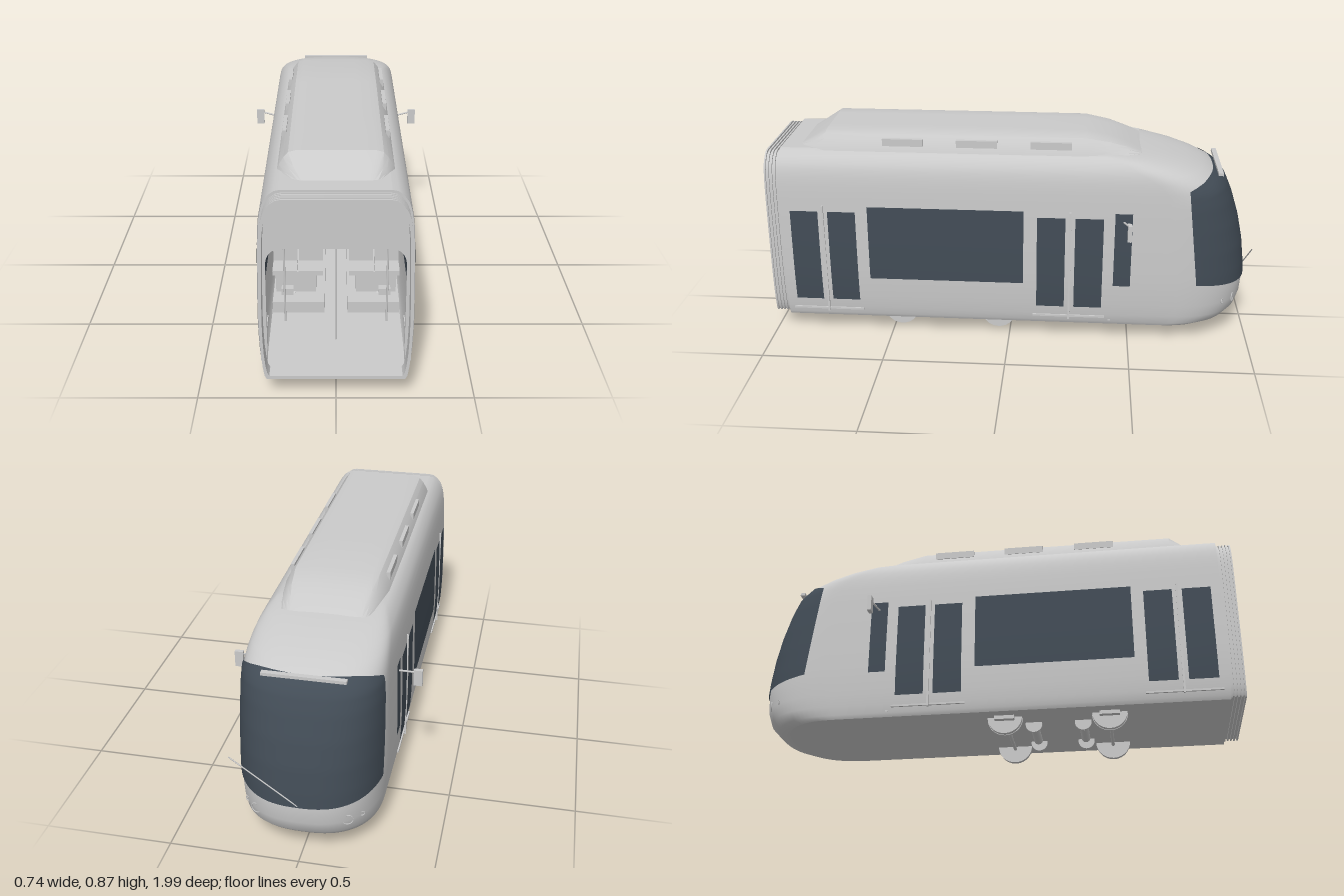
import * as THREE from 'three';
import { toCreasedNormals } from 'three/addons/utils/BufferGeometryUtils.js';

const paint = new THREE.MeshStandardMaterial({ color: 0xcacaca, side: THREE.DoubleSide });
paint.name = 'lightGrey';
const glass = new THREE.MeshStandardMaterial({ color: 0x424c56, side: THREE.DoubleSide });
glass.name = 'darkGlass';

// Horizontal slices of the shell: height, half width, nose tip z, z where the nose starts
const SLICES = [
  [0.07, 0.255, -0.88, -0.62], [0.085, 0.263, -0.93, -0.64], [0.12, 0.269, -0.965, -0.65],
  [0.17, 0.274, -0.982, -0.65], [0.24, 0.277, -0.987, -0.65], [0.3, 0.278, -0.982, -0.65],
  [0.4, 0.277, -0.968, -0.65], [0.5, 0.275, -0.945, -0.65], [0.6, 0.272, -0.912, -0.65],
  [0.66, 0.269, -0.885, -0.64], [0.7, 0.265, -0.85, -0.6], [0.73, 0.259, -0.79, -0.55],
  [0.755, 0.25, -0.72, -0.5], [0.78, 0.232, -0.62, -0.45], [0.795, 0.212, -0.53, -0.4],
  [0.8, 0.19, -0.48, -0.35],
];
const REAR = 0.94;

function sliceAt(y) {
  let i = 0;
  while (i < SLICES.length - 2 && y > SLICES[i + 1][0]) i++;
  const a = SLICES[i], b = SLICES[i + 1];
  const k = THREE.MathUtils.clamp((y - a[0]) / (b[0] - a[0]), 0, 1);
  return a.map((v, j) => v + (b[j] - v) * k);
}

// Point on the rounded nose; t runs from -1 (right side) to 1 (left side)
function nosePoint(y, t, off = 0) {
  const [, w, tip, start] = sliceAt(y);
  const s = Math.sin(t * Math.PI / 2), c = Math.max(0, Math.cos(t * Math.PI / 2));
  return [Math.sign(s) * w * Math.abs(s) ** 0.8 + s * off, y,
    start - (start - tip) * c ** 0.8 - c * off];
}

// Surface made from a rule over a grid of nu by nv cells
function grid(nu, nv, rule) {
  const pos = [], idx = [];
  for (let j = 0; j <= nv; j++) for (let i = 0; i <= nu; i++) pos.push(...rule(i, j));
  for (let j = 0; j < nv; j++) for (let i = 0; i < nu; i++) {
    const a = j * (nu + 1) + i, b = a + nu + 1;
    idx.push(a, b, a + 1, a + 1, b, b + 1);
  }
  const g = new THREE.BufferGeometry();
  g.setAttribute('position', new THREE.Float32BufferAttribute(pos, 3));
  g.setIndex(idx);
  g.computeVertexNormals();
  return g;
}

export function createModel() {
  const model = new THREE.Group();
  model.name = 'tram';

  const add = (name, geo, mat = paint) => {
    const m = new THREE.Mesh(geo, mat);
    m.name = name;
    model.add(m);
    return m;
  };
  const box = (name, x0, x1, y0, y1, z0, z1, mat) => {
    const m = add(name, new THREE.BoxGeometry(Math.abs(x1 - x0), y1 - y0, Math.abs(z1 - z0)), mat);
    m.position.set((x0 + x1) / 2, (y0 + y1) / 2, (z0 + z1) / 2);
    return m;
  };
  const rod = (name, a, b, r) => add(name, new THREE.TubeGeometry(
    new THREE.LineCurve3(new THREE.Vector3(...a), new THREE.Vector3(...b)), 1, r, 8));
  const roller = (name, x, y, z, r, len) => {
    const m = add(name, new THREE.CylinderGeometry(r, r, len, 28).rotateZ(Math.PI / 2));
    m.position.set(x, y, z);
    return m;
  };

  // Shell with nose, floor and roof skin
  const COLS = 42;
  const around = (i, y) => {
    if (i === 0 || i === COLS) return [(i ? 1 : -1) * sliceAt(y)[1], y, REAR];
    return nosePoint(y, -1 + 2 * (i - 1) / (COLS - 2));
  };
  add('bodyShell', grid(COLS, SLICES.length - 1, (i, j) => around(i, SLICES[j][0])));
  for (const [name, y] of [['underside', 0.07], ['roofSkin', 0.8]]) {
    add(name, grid(COLS, 1, (i, j) => {
      const p = around(i, y);
      return j ? [0, y, p[2]] : p;
    }));
  }

  // Windscreen wrapped around the nose
  add('windscreen', grid(40, 28, (i, j) => {
    const u = i / 20 - 1, v = j / 28;
    const y = THREE.MathUtils.lerp(0.245 + 0.025 * u * u, 0.712 - 0.035 * u ** 4, v);
    const [, , tip, start] = sliceAt(y);
    const edge = THREE.MathUtils.lerp(-0.77, -0.72, v);
    const k = Math.acos(((start - edge) / (start - tip)) ** 1.25) / (Math.PI / 2);
    return nosePoint(y, u * k, 0.005);
  }), glass);
  box('windscreenTopBar', -0.155, 0.155, 0.708, 0.72, -0.862, -0.842);
  rod('wiper', [0, 0.25, -0.99], [0.25, 0.43, -0.985], 0.0025);

  // Open end: bulkhead with doorway, then folded bellows
  const outline = (k) => {
    const side = SLICES.map(([y, w]) => new THREE.Vector2(w * k, 0.438 + (y - 0.438) * k));
    return [...side, ...side.map((p) => new THREE.Vector2(-p.x, p.y)).reverse()];
  };
  const frame = (name, k, hole, z, depth) => {
    const s = new THREE.Shape(outline(k));
    s.holes.push(hole);
    const g = new THREE.ExtrudeGeometry(s, { depth, bevelEnabled: false });
    add(name, toCreasedNormals(g, 0.6)).position.z = z;
  };
  const doorway = new THREE.Path();
  doorway.moveTo(-0.247, 0.09).lineTo(0.247, 0.09).lineTo(0.247, 0.5)
    .quadraticCurveTo(0.247, 0.575, 0.185, 0.575).lineTo(-0.185, 0.575)
    .quadraticCurveTo(-0.247, 0.575, -0.247, 0.5).closePath();
  frame('endBulkhead', 0.995, doorway, 0.925, 0.014);
  for (let i = 0; i < 9; i++) {
    frame('bellowsFold', i % 2 ? 0.95 : 0.97, new THREE.Path(outline(0.935)), REAR + i * 0.0066, 0.0067);
  }

  // Roof equipment pod: z, half width, height
  const pod = [[0.865, 0.15, 0.002], [0.81, 0.185, 0.036], [0.755, 0.21, 0.07], [0.4, 0.21, 0.07],
    [0, 0.21, 0.07], [-0.3, 0.208, 0.07], [-0.4, 0.195, 0.05], [-0.47, 0.18, 0.025], [-0.53, 0.165, -0.004]];
  const arch = [[-1, -0.1], [-0.96, 0.2], [-0.88, 0.6], [-0.8, 0.88], [-0.68, 0.98], [-0.4, 1],
    [0.4, 1], [0.68, 0.98], [0.8, 0.88], [0.88, 0.6], [0.96, 0.2], [1, -0.1]];
  add('roofPod', toCreasedNormals(grid(arch.length - 1, pod.length - 1, (i, j) =>
    [arch[i][0] * pod[j][1], 0.798 + arch[i][1] * pod[j][2], pod[j][0]]), 0.5));

  for (const s of [1, -1]) {
    // Side glazing follows the wall, seen from outside and inside
    const pane = (name, z0, z1, y0, y1) => {
      for (const off of [0.003, -0.003]) {
        add(name, grid(1, 12, (i, j) => {
          const y = y0 + (y1 - y0) * j / 12;
          return [s * (sliceAt(y)[1] + off), y, i ? z1 : z0];
        }), glass);
      }
    };
    pane('sideWindow', 0.58, -0.06, 0.26, 0.58);
    pane('cabSideWindow', -0.43, -0.5, 0.26, 0.58);
    for (const z of [0.765, -0.25]) {
      pane('doorGlass', z + 0.135, z + 0.02, 0.155, 0.555);
      pane('doorGlass', z - 0.02, z - 0.135, 0.155, 0.555);
      box('doorPost', s * 0.272, s * 0.281, 0.1, 0.58, z - 0.004, z + 0.004);
      box('doorStep', s * 0.264, s * 0.274, 0.106, 0.114, z - 0.15, z + 0.15);
    }

    // Roof vents
    for (const z of [0.435, 0.135, -0.165]) box('roofVent', s * 0.185, s * 0.2, 0.818, 0.848, z - 0.083, z + 0.083);

    // Mirror and headlamp
    box('mirror', s * 0.338, s * 0.372, 0.5, 0.567, -0.494, -0.478);
    rod('mirrorArm', [s * 0.272, 0.543, -0.465], [s * 0.345, 0.555, -0.486], 0.004);
    for (const [t, r] of [[0.38, 0.02], [0.54, 0.009]]) {
      const lamp = add('headlamp', new THREE.TorusGeometry(r, 0.002, 6, 24));
      lamp.position.set(...nosePoint(0.175, s * t, 0.001));
      lamp.rotation.y = -s * t * 0.9;
    }

    // Wheels with hubs, axle boxes and brake discs
    for (const z of [0.47, 0.05]) {
      roller('wheel', s * 0.177, 0.072, z, 0.07, 0.022);
      roller('wheelFlange', s * 0.166, 0.072, z, 0.072, 0.005);
      box('axleBox', s * 0.17, s * 0.217, 0.142, 0.17, z - 0.04, z + 0.04);
      box('axleBearing', s * 0.185, s * 0.21, 0.055, 0.075, z - 0.04, z + 0.04);
      const inner = z > 0.2 ? 0.36 : 0.16;
      roller('brakeDisc', s * 0.112, 0.062, inner, 0.034, 0.01);
    }

    // Seats on low platforms
    box('seatPlatform', s * 0.045, s * 0.25, 0.09, 0.14, -0.06, 0.56);
    for (const z of [0.4, 0.02]) {
      for (const x of [0.052, 0.155]) {
        box('seatBack', s * x, s * (x + 0.097), 0.23, 0.395, z, z + 0.02);
        box('seatCushion', s * x, s * (x + 0.097), 0.23, 0.25, z, z + 0.11);
      }
      box('seatBase', s * 0.08, s * 0.24, 0.14, 0.23, z + 0.02, z + 0.08);
    }

    // Grab poles
    rod('grabPole', [s * 0.198, 0.09, 0.62], [s * 0.198, 0.572, 0.62], 0.004);
    rod('grabPole', [s * 0.245, 0.09, -0.1], [s * 0.245, 0.572, -0.1], 0.003);
  }
  rod('grabPole', [0, 0.09, 0.75], [0, 0.572, 0.75], 0.004);

  // Running gear between the wheels
  for (const z of [0.47, 0.05]) roller('axle', 0, 0.06, z, 0.007, 0.35);
  for (const z of [0.36, 0.16]) roller('motor', 0, 0.06, z, 0.018, 0.14);

  // Interior floor, ceiling, cab wall and screens
  box('floor', -0.25, 0.25, 0.08, 0.09, -0.42, 0.93);
  box('ceiling', -0.262, 0.262, 0.576, 0.582, -0.42, 0.93);
  box('cabWall', -0.265, 0.265, 0.09, 0.58, -0.425, -0.415);
  box('cabWindow', -0.19, -0.07, 0.4, 0.47, -0.414, -0.408, glass);
  box('displayFrame', -0.073, 0.073, 0.505, 0.558, 0.68, 0.7);
  box('displayScreen', -0.067, 0.067, 0.511, 0.553, 0.7, 0.704, glass);

  return model;
}
